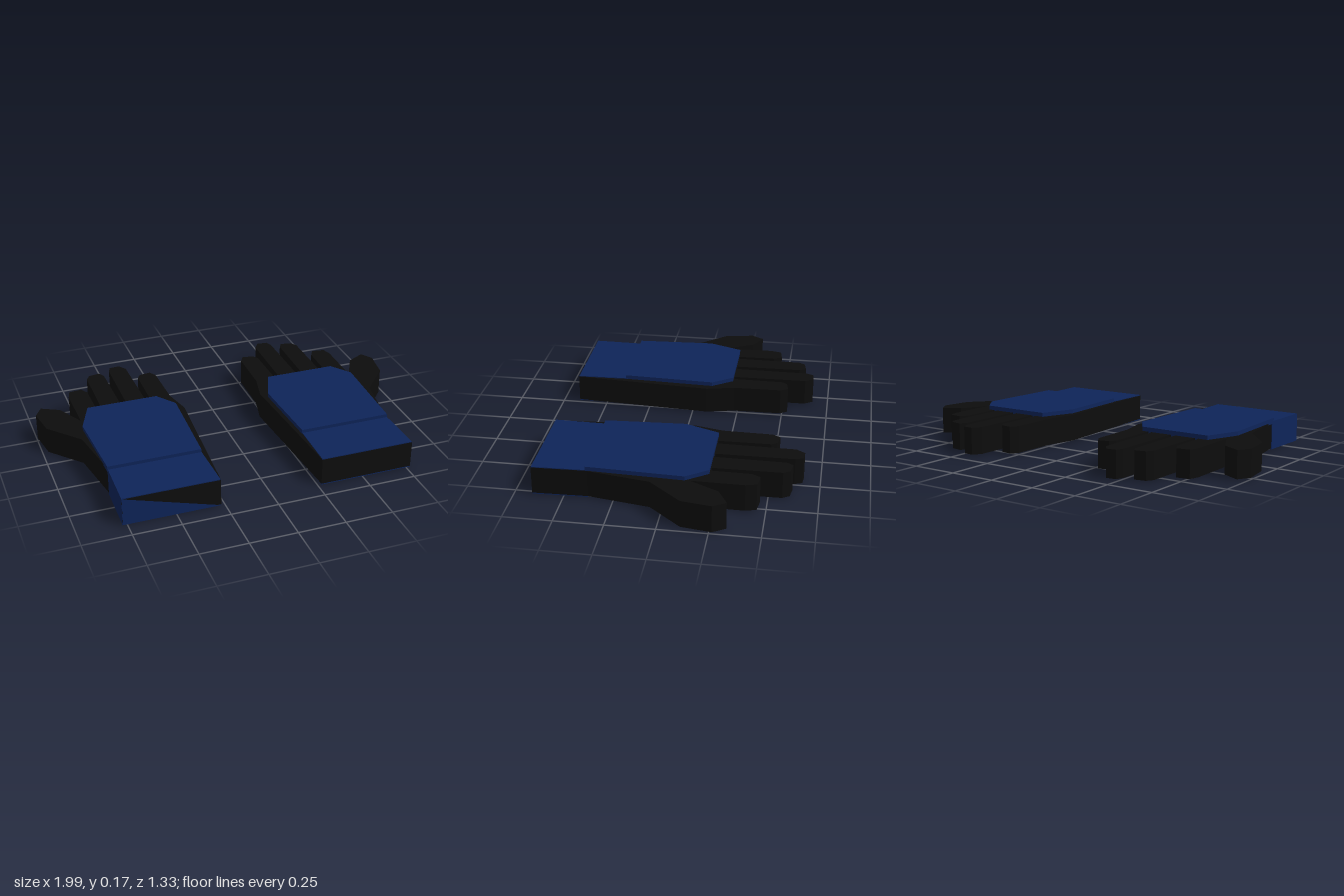
import * as THREE from 'three';

// Outline of the left hand seen from above, as [x, z]
const HAND = [
  [0.27, 0.66], [0.22, -0.08], [0.255, -0.23],
  [0.26, -0.49], [0.285, -0.53], [0.345, -0.52], [0.365, -0.49], [0.368, -0.22], [0.38, -0.205], [0.395, -0.22], // little finger
  [0.4, -0.62], [0.43, -0.665], [0.485, -0.66], [0.5, -0.62], [0.503, -0.22], [0.52, -0.205], [0.535, -0.22], // ring finger
  [0.54, -0.58], [0.56, -0.615], [0.62, -0.605], [0.642, -0.57], [0.645, -0.22], [0.66, -0.205], [0.672, -0.22], // middle finger
  [0.675, -0.42], [0.7, -0.465], [0.77, -0.455], [0.785, -0.4], [0.782, -0.13], // index finger
  [0.86, -0.28], [0.955, -0.33], [0.995, -0.265], [0.97, -0.11], [0.82, 0.06], // thumb
  [0.765, 0.38], [0.772, 0.66],
];
// Back plate and cuff have the same orientation on both gloves
const PLATE = [[0.272, 0.39], [0.25, -0.035], [0.32, -0.215], [0.705, -0.215], [0.783, -0.105], [0.762, 0.39]];
const CUFF = [[0.27, 0.659], [0.275, 0.38], [0.763, 0.38], [0.771, 0.659]];

// Extrude an [x, z] outline upward between two heights
function slab(name, points, y0, y1, material) {
  const shape = new THREE.Shape(points.map(([x, z]) => new THREE.Vector2(x, -z)));
  const geo = new THREE.ExtrudeGeometry(shape, { depth: y1 - y0, bevelEnabled: false });
  geo.rotateX(-Math.PI / 2);
  geo.translate(0, y0, 0);
  const mesh = new THREE.Mesh(geo, material);
  mesh.name = name;
  return mesh;
}

// Flat painted triangle
function triangle(name, corners, material) {
  const geo = new THREE.BufferGeometry();
  geo.setAttribute('position', new THREE.Float32BufferAttribute(corners.flat(), 3));
  geo.computeVertexNormals();
  const mesh = new THREE.Mesh(geo, material);
  mesh.name = name;
  return mesh;
}

export function createModel() {
  const black = new THREE.MeshStandardMaterial({ color: 0x0d0d0d });
  black.name = 'black fabric';
  const blue = new THREE.MeshStandardMaterial({ color: 0x0e2459 });
  blue.name = 'navy blue';

  const model = new THREE.Group();
  model.name = 'gloves';
  for (const side of [1, -1]) {
    const glove = new THREE.Group();
    glove.name = side > 0 ? 'leftGlove' : 'rightGlove';
    const shift = side > 0 ? 0 : -1.043;
    const moved = (pts) => pts.map(([x, z]) => [x + shift, z]);
    glove.add(
      slab('hand', HAND.map(([x, z]) => [x * side, z]), 0.006, 0.149, black),
      slab('backPlate', moved(PLATE), 0.14, 0.171, blue),
      slab('cuff', moved(CUFF), 0, 0.153, blue),
    );
    model.add(glove);
    if (side < 0) {
      // Blue corner panels on the right cuff
      glove.add(
        triangle('cuffFrontPanel', [[-0.772, 0.152, 0.662], [-0.772, 0.002, 0.662], [-0.27, 0.002, 0.662]], blue),
        triangle('cuffSidePanel', [[-0.768, 0.152, 0.38], [-0.775, 0.002, 0.66], [-0.775, 0.152, 0.66]], blue),
      );
    }
  }
  return model;
}
